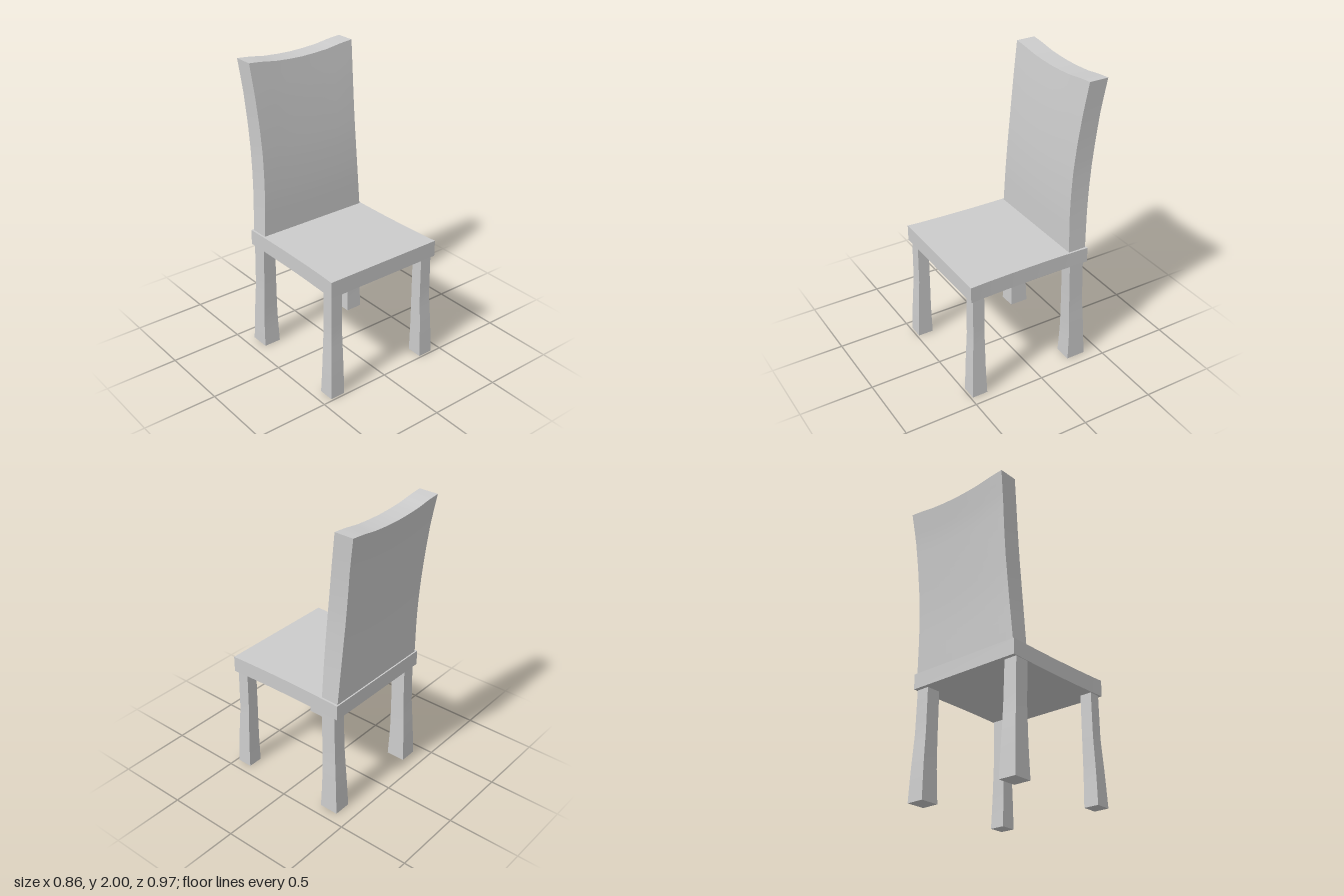
import * as THREE from 'three';

const material = new THREE.MeshStandardMaterial({ color: 0xcccccc });

// Piecewise interpolation through [position, value] stations, in ascending order
function sample(stations, t) {
  for (let i = 1; i < stations.length; i++) {
    const [t0, v0] = stations[i - 1], [t1, v1] = stations[i];
    if (t <= t1) return THREE.MathUtils.lerp(v0, v1, Math.max(0, (t - t0) / (t1 - t0)));
  }
  return stations[stations.length - 1][1];
}

// Unit box whose vertices (each coordinate 0..1) are moved by a rule
function shapedBox(name, segments, rule) {
  const geometry = new THREE.BoxGeometry(1, 1, 1, ...segments);
  const p = geometry.attributes.position;
  for (let i = 0; i < p.count; i++) {
    p.setXYZ(i, ...rule(p.getX(i) + 0.5, p.getY(i) + 0.5, p.getZ(i) + 0.5));
  }
  geometry.computeVertexNormals();
  const mesh = new THREE.Mesh(geometry, material);
  mesh.name = name;
  return mesh;
}

// Seat: slab with gently waisted sides
function createSeat() {
  const halfWidth = [[-0.39, 0.415], [-0.2, 0.411], [0, 0.41], [0.2, 0.413], [0.38, 0.419], [0.48, 0.425]];
  return shapedBox('seat', [1, 1, 16], (u, v, w) => {
    const z = THREE.MathUtils.lerp(-0.39, 0.48, w);
    const top = THREE.MathUtils.lerp(0.849, 0.855, w);
    return [(u * 2 - 1) * sample(halfWidth, z), v ? top : 0.745, z];
  });
}

// Backrest: waisted, curving backwards, with a dip in the top edge
function createBackrest() {
  const halfWidth = [[0.84, 0.4], [1.1, 0.384], [1.25, 0.378], [1.42, 0.375], [1.6, 0.378], [1.8, 0.387], [2, 0.4]];
  const front = [[0.84, -0.255], [1.1, -0.26], [1.25, -0.268], [1.4, -0.279], [1.6, -0.3], [1.8, -0.325], [2, -0.355]];
  const back = [[0.84, -0.38], [1.1, -0.393], [1.25, -0.403], [1.4, -0.416], [1.6, -0.435], [1.8, -0.456], [2, -0.487]];
  const topEdge = [[0, 1.965], [0.25, 1.968], [0.5, 1.975], [0.8, 1.993], [1, 2]];
  return shapedBox('backrest', [16, 16, 1], (u, v, w) => {
    const side = u * 2 - 1;
    const station = THREE.MathUtils.lerp(0.84, 2, v);
    const y = THREE.MathUtils.lerp(0.84, sample(topEdge, Math.abs(side)), v);
    return [side * sample(halfWidth, station), y, sample(w ? front : back, station)];
  });
}

// Leg: square post flaring towards the foot; side is +1 for left, -1 for right
function createLeg(name, side, { inner, outer, back, front }) {
  return shapedBox(name, [1, 10, 1], (u, v, w) => {
    const y = v * 0.75;
    const isOuter = side > 0 ? u === 1 : u === 0;
    return [side * sample(isOuter ? outer : inner, y), y, sample(w ? front : back, y)];
  });
}

export function createModel() {
  const model = new THREE.Group();
  model.name = 'chair';
  model.add(createSeat(), createBackrest());

  const frontLeg = {
    inner: [[0, 0.328], [0.75, 0.328]],
    outer: [[0, 0.432], [0.2, 0.424], [0.45, 0.412], [0.75, 0.41]],
    back: [[0, 0.378], [0.2, 0.383], [0.75, 0.38]],
    front: [[0, 0.486], [0.2, 0.478], [0.45, 0.463], [0.75, 0.46]],
  };
  const backLeg = {
    inner: [[0, 0.303], [0.3, 0.312], [0.75, 0.318]],
    outer: [[0, 0.424], [0.2, 0.419], [0.45, 0.41], [0.75, 0.409]],
    back: [[0, -0.395], [0.2, -0.386], [0.45, -0.37], [0.75, -0.362]],
    front: [[0, -0.262], [0.2, -0.27], [0.45, -0.267], [0.75, -0.26]],
  };
  for (const [label, side] of [['Left', 1], ['Right', -1]]) {
    model.add(createLeg('front' + label + 'Leg', side, frontLeg));
    model.add(createLeg('back' + label + 'Leg', side, backLeg));
  }
  return model;
}
